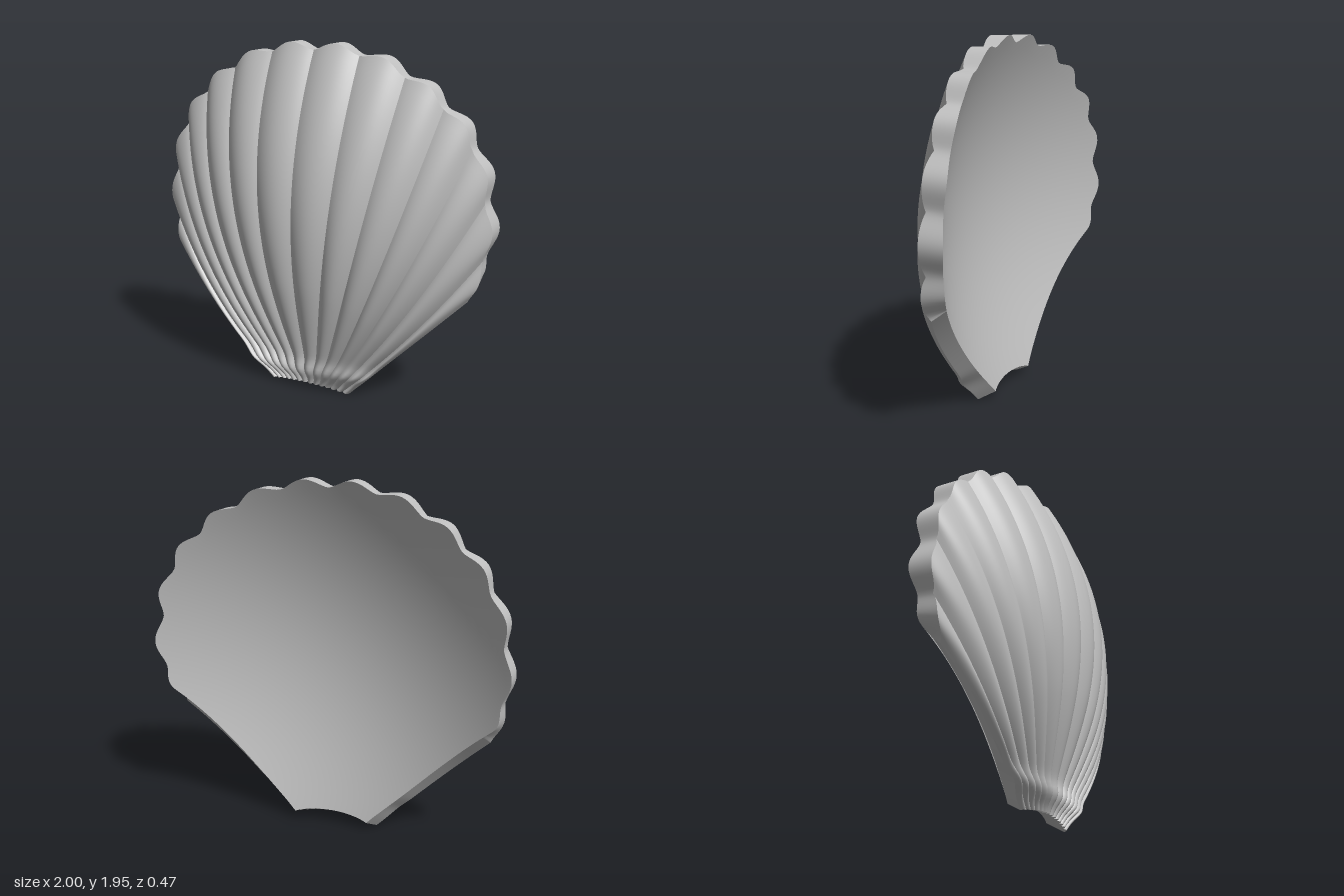
import * as THREE from 'three';

const RIBS = 7; // per side
// Rim end of each groove from the centre outwards, and its sideways bow
const rim = [[0, 1.91], [0.26, 1.89], [0.51, 1.79], [0.715, 1.64], [0.87, 1.44], [0.95, 1.17], [0.955, 0.87], [0.89, 0.64]];
const bow = [0, 0.05, 0.065, 0.07, 0.06, 0.05, 0.03, 0];

// Point on groove i (-7..7) at t, from hinge (0) to rim (1)
function groove(i, t) {
  const k = Math.abs(i), u = k / RIBS;
  const a = new THREE.Vector2(0.25 * u, 0.03 - 0.03 * u * u);
  const c = new THREE.Vector2(...rim[k]);
  const d = c.clone().sub(a).normalize();
  const m = a.clone().add(c).multiplyScalar(0.5).add(new THREE.Vector2(d.y, -d.x).multiplyScalar(2 * bow[k]));
  const p = new THREE.QuadraticBezierCurve(a, m, c).getPoint(t);
  if (i < 0) p.x *= -1;
  return p;
}

// Smooth outer dome, flattened and lipped near the hinge
function dome(x, y) {
  return 0.19 - 0.35 * x * x - 0.31 * (y - 1) ** 2 + 0.11 * Math.exp(-y / 0.25)
    + 0.025 * Math.exp(-(((y - 0.12) / 0.05) ** 2));
}

// Shallower hollow behind it
function hollow(x, y) {
  return 0.08 - 0.33 * x * x - 0.26 * (y - 1) ** 2 + 0.06 * Math.exp(-y / 0.25);
}

// Outline position across rib i (f 0..1), with the scalloped rim
function plan(i, f, t) {
  const a = groove(i, t), b = groove(i + 1, t);
  const p = a.clone().lerp(b, f);
  const n = new THREE.Vector2(a.y - b.y, b.x - a.x).normalize();
  const last = i === RIBS - 1 || i === -RIBS;
  return p.addScaledVector(n, (last ? 0.028 : 0.049) * Math.max(0, Math.sin(Math.PI * f)) ** 1.4 * t ** 6);
}

function front(i, f, t) {
  const p = plan(i, f, t);
  const height = 0.018 + 0.012 * Math.min(1, t * 3) + 0.01 * t ** 4;
  return [p.x, p.y, dome(p.x, p.y) + height * 4 * f * (1 - f)];
}

// Inside surface, drawn in along the straight edges and hinge
function back(i, f, t) {
  const p = plan(i, f, t), u = (i + f) / RIBS;
  const edge = Math.abs(u) ** (3 + 9 * t);
  const x = p.x - 0.035 * Math.sign(u) * edge;
  const y = p.y + 0.05 * Math.max(edge, (1 - t) ** 12);
  return [x, y, hollow(x, y)];
}

// Smooth sheet from fn(a, b), both running 0..1
function sheet(fn, na, nb, flip) {
  const pos = [], index = [];
  for (let j = 0; j <= nb; j++) for (let i = 0; i <= na; i++) pos.push(...fn(i / na, j / nb));
  for (let j = 0; j < nb; j++) for (let i = 0; i < na; i++) {
    const p = j * (na + 1) + i, q = p + 1, r = q + na + 1, s = r - 1;
    index.push(...(flip ? [p, r, q, p, s, r] : [p, q, r, p, r, s]));
  }
  const g = new THREE.BufferGeometry();
  g.setAttribute('position', new THREE.Float32BufferAttribute(pos, 3));
  g.setIndex(index);
  g.computeVertexNormals();
  return g;
}

export function createModel() {
  const model = new THREE.Group();
  model.name = 'scallopShell';
  const shell = new THREE.MeshStandardMaterial({ color: 0xc0c0c0 });
  shell.name = 'shellGrey';
  const add = (name, geometry) => {
    const mesh = new THREE.Mesh(geometry, shell);
    mesh.name = name;
    model.add(mesh);
  };
  const ease = (b) => b ** 1.5; // finer rows near the hinge
  const thick = (i, f, t, b) => {
    const p = front(i, f, t), q = back(i, f, t);
    return p.map((v, k) => v + (q[k] - v) * b);
  };
  // Runs a function of (rib, fraction) over the full width, a 0..1
  const across = (fn) => (a, b) => {
    const s = a * 2 * RIBS, k = Math.min(Math.floor(s + 1e-6), 2 * RIBS - 1);
    return fn(k - RIBS, s - k, b);
  };

  // Separate rib sheets keep the grooves sharp
  for (let i = -RIBS; i < RIBS; i++) {
    add('rib', sheet((a, b) => front(i, a, ease(b)), 14, 48));
  }

  // Scalloped rim, hinge face and hollow inside
  const wide = 14 * 2 * RIBS;
  add('rimFace', sheet(across((i, f, b) => thick(i, f, 1, b)), wide, 1));
  add('hingeFace', sheet(across((i, f, b) => thick(i, f, 0, b)), wide, 1, true));
  add('inside', sheet(across((i, f, b) => back(i, f, ease(b))), wide, 48, true));

  // Straight side edges
  add('leftEdge', sheet((a, b) => thick(RIBS - 1, 1, ease(a), b), 48, 1, true));
  add('rightEdge', sheet((a, b) => thick(-RIBS, 0, ease(a), b), 48, 1));

  return model;
}
